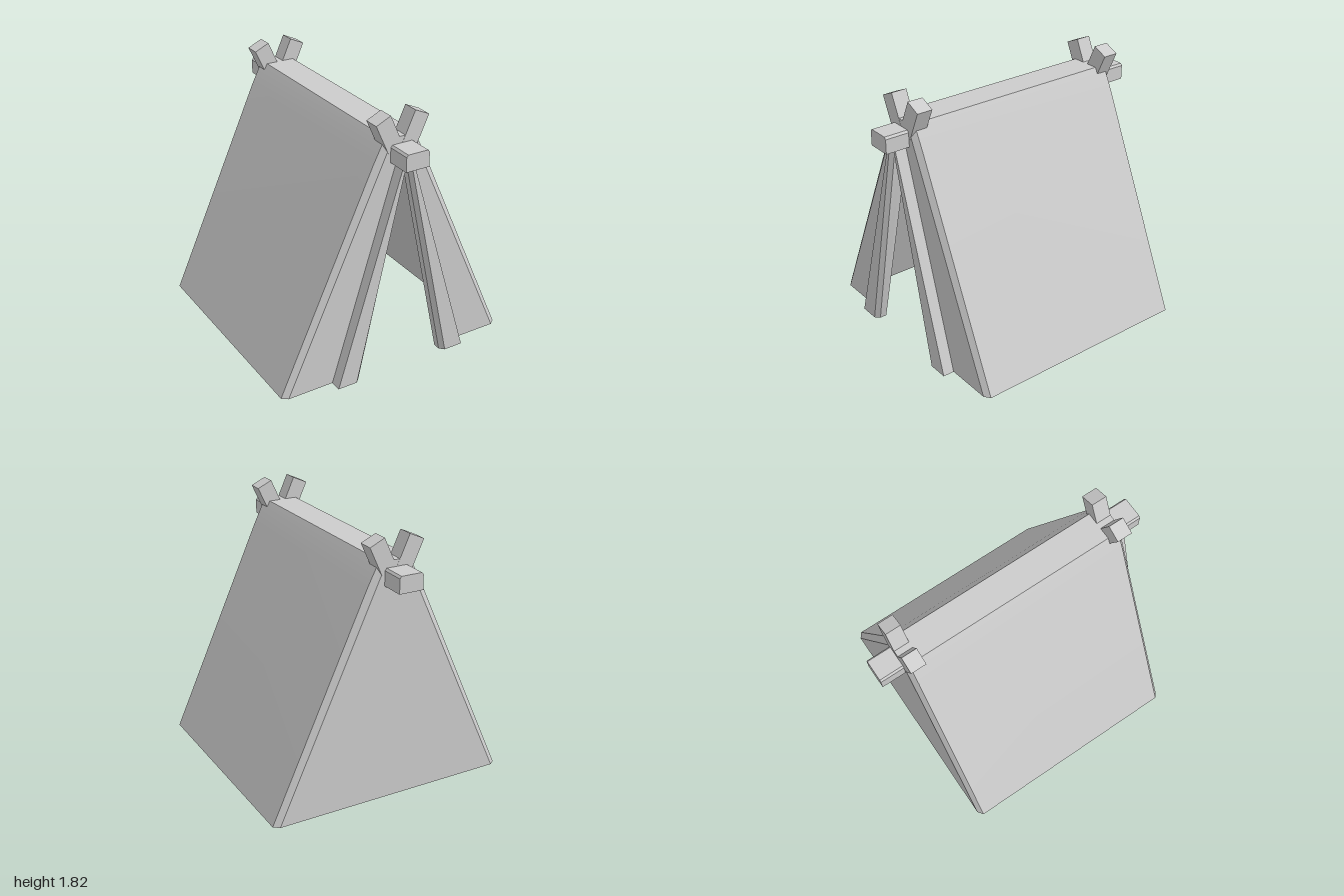
import * as THREE from 'three';
import { toCreasedNormals } from 'three/addons/utils/BufferGeometryUtils.js';

const cloth = new THREE.MeshStandardMaterial({ color: 0xcccccc, side: THREE.DoubleSide });
const wood = new THREE.MeshStandardMaterial({ color: 0xcccccc, flatShading: true });

// Plan outline of half the tent: back, roof side, door flap, then the inside.
// Each entry is [x at ground, x at 1.5, x at 1.62, x at 1.665, z].
const OUTLINE = [
  [0, 0, 0, 0, -0.83],
  [0.83, 0.145, 0.09, 0.075, -0.83],
  [0.87, 0.19, 0.13, 0.105, -0.8],
  [0.87, 0.19, 0.13, 0.105, 0.8],
  [0.83, 0.145, 0.09, 0.075, 0.83],
  [0.5, 0.04, 0, 0, 0.83],
  [0.5, 0.04, 0, 0, 0.91],
  [0.36, 0.02, 0, 0, 0.91],
  [0.33, 0, 0, 0, 0.88],
  [0.33, 0, 0, 0, 0.83],
  [0.745, 0.06, 0, 0, 0.74],
  [0.745, 0.06, 0, 0, -0.74],
  [0.34, 0, 0, 0, -0.829],
  [0, 0, 0, 0, -0.829],
];
const LEVELS = [0, 1.5, 1.62, 1.665];
const OUTER = 9; // last outline point on the outside

function halfTent(side) {
  const positions = [];
  // the flap sinks back to the front wall above the door
  const point = (i, row) => new THREE.Vector3(
    side * OUTLINE[i][row], LEVELS[row], row > 1 ? Math.min(OUTLINE[i][4], 0.83) : OUTLINE[i][4]);
  const triangle = (a, b, c) => {
    const pts = side > 0 ? [a, b, c] : [a, c, b];
    const area = b.clone().sub(a).cross(c.clone().sub(a)).length();
    if (area > 1e-7) pts.forEach((p) => positions.push(p.x, p.y, p.z));
  };
  const facing = (up, a, b, c) => {
    const ny = b.clone().sub(a).cross(c.clone().sub(a)).y * side;
    if (ny * up > 0) triangle(a, b, c);
    else triangle(a, c, b);
  };

  // walls, inside and out
  for (let row = 0; row < 3; row++) {
    const last = row === 0 ? OUTLINE.length - 1 : OUTER;
    for (let i = 0; i < last; i++) {
      const a = point(i, row), b = point(i + 1, row);
      const c = point(i + 1, row + 1), d = point(i, row + 1);
      triangle(a, d, c);
      triangle(a, c, b);
    }
  }
  // bottom rim
  const contour = OUTLINE.map((p) => new THREE.Vector2(p[0], p[4]));
  THREE.ShapeUtils.triangulateShape(contour, []).forEach(([a, b, c]) =>
    facing(-side, point(a, 0), point(b, 0), point(c, 0)));
  // ceiling inside and flat ridge on top
  for (let i = 10; i < 12; i++) facing(-side, point(9, 1), point(i, 1), point(i + 1, 1));
  for (let i = 1; i < 5; i++) facing(side, point(0, 3), point(i, 3), point(i + 1, 3));

  let geometry = new THREE.BufferGeometry();
  geometry.setAttribute('position', new THREE.Float32BufferAttribute(positions, 3));
  geometry = toCreasedNormals(geometry, 0.3);
  const mesh = new THREE.Mesh(geometry, cloth);
  mesh.name = side > 0 ? 'leftTentHalf' : 'rightTentHalf';
  return mesh;
}

function ridgePole() {
  // square beam with small bevels along its upper edges
  const shape = new THREE.Shape([
    [-0.085, 1.505], [0.085, 1.505], [0.085, 1.605],
    [0.073, 1.62], [-0.073, 1.62], [-0.085, 1.605],
  ].map(([x, y]) => new THREE.Vector2(x, y)));
  const geometry = new THREE.ExtrudeGeometry(shape, { depth: 2, bevelEnabled: false });
  geometry.translate(0, 0, -1);
  const mesh = new THREE.Mesh(geometry, wood);
  mesh.name = 'ridgePole';
  return mesh;
}

function crossedPoles(z) {
  const group = new THREE.Group();
  group.name = z > 0 ? 'frontCrossedPoles' : 'backCrossedPoles';
  const tilt = 0.43, length = 0.23;
  for (const side of [1, -1]) {
    const pole = new THREE.Mesh(new THREE.BoxGeometry(0.114, length, 0.11), wood);
    pole.position.set(
      side * (0.1425 - Math.sin(tilt) * length / 2), 1.7925 - Math.cos(tilt) * length / 2, z);
    pole.rotation.z = -side * tilt;
    pole.name = side > 0 ? 'leftPoleTip' : 'rightPoleTip';
    group.add(pole);
  }
  return group;
}

export function createModel() {
  const tent = new THREE.Group();
  tent.name = 'tent';
  tent.add(halfTent(1), halfTent(-1), ridgePole(), crossedPoles(0.776), crossedPoles(-0.776));
  return tent;
}
